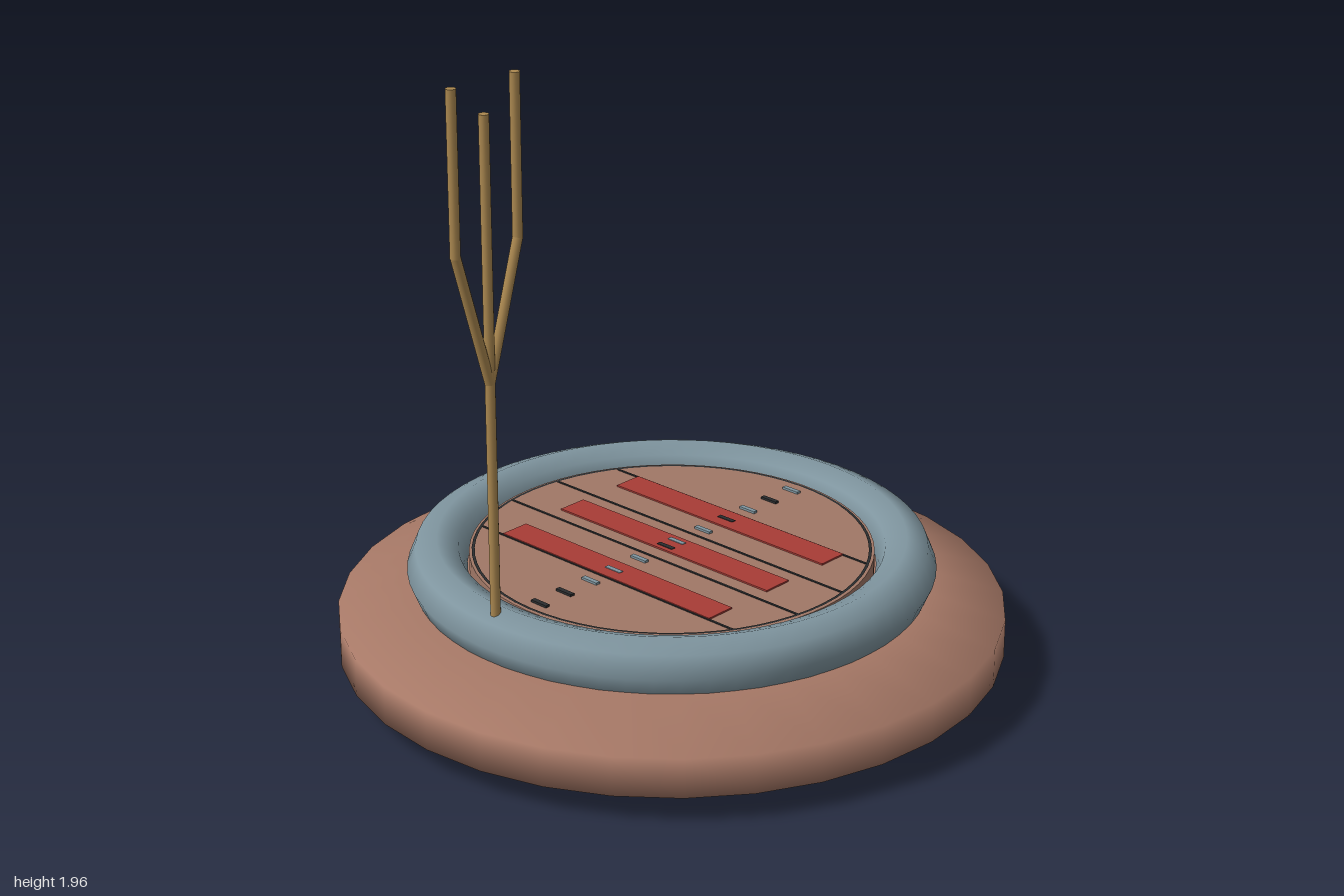
import * as THREE from 'three';

const mat = (name, color) => new THREE.MeshStandardMaterial({ name, color });

export function createModel() {
  const clay = mat('clay brown', 0xa67866);
  const deckBrown = mat('deck brown', 0xa07766);
  const blue = mat('slate blue', 0x7f959f);
  const red = mat('stripe red', 0xa83c36);
  const bronze = mat('bronze', 0xab8850);
  const dark = mat('dark seam', 0x2a2c2e);

  const model = new THREE.Group();
  const add = (name, geometry, material, x = 0, y = 0, z = 0) => {
    const mesh = new THREE.Mesh(geometry, material);
    mesh.name = name;
    mesh.position.set(x, y, z);
    model.add(mesh);
    return mesh;
  };

  // Wide bevelled base
  const profile = [[0, 0], [0.71, 0.003], [1, 0.08], [1, 0.2], [0.76, 0.278], [0, 0.28]];
  add('base', new THREE.LatheGeometry(profile.map(p => new THREE.Vector2(...p)), 32), clay);

  // Padded ring
  const ring = new THREE.TorusGeometry(0.7, 0.09, 8, 64).rotateX(-Math.PI / 2);
  add('ring', ring, blue, 0, 0.326, 0);

  // Round deck with a dark rim line
  const deckTop = 0.37;
  add('deck', new THREE.CylinderGeometry(0.605, 0.605, 0.1, 64), deckBrown, 0, deckTop - 0.05, 0);
  const rim = new THREE.RingGeometry(0.588, 0.597, 64).rotateX(-Math.PI / 2);
  add('deckRim', rim, dark, 0, deckTop + 0.002, 0);

  // Seams between planks
  for (const x of [-0.295, -0.098, 0.098, 0.295]) {
    const length = 2 * Math.sqrt(0.588 ** 2 - x * x);
    add('plankSeam', new THREE.BoxGeometry(0.007, 0.003, length), dark, x, deckTop + 0.001, 0);
  }

  // Red stripes
  for (const x of [-0.246, 0, 0.246]) {
    add('stripe', new THREE.BoxGeometry(0.096, 0.006, 0.84), red, x, deckTop + 0.002, 0);
  }

  // Small marks across the middle
  const marks = (name, xs, material) => {
    for (const x of xs) {
      add(name, new THREE.BoxGeometry(0.015, 0.008, 0.06), material, x, deckTop + 0.003, 0);
    }
  };
  marks('darkMark', [-0.55, -0.45, -0.025, 0.243, 0.443], dark);
  marks('blueMark', [-0.345, -0.248, -0.14, 0.022, 0.14, 0.343, 0.545], blue);

  // Three-pronged pole
  const rod = (name, x1, y1, x2, y2) => {
    const length = Math.hypot(x2 - x1, y2 - y1);
    const mesh = add(name, new THREE.CylinderGeometry(0.015, 0.015, length, 12), bronze,
      (x1 + x2) / 2, (y1 + y2) / 2, 0);
    mesh.rotation.z = -Math.atan2(x2 - x1, y2 - y1);
  };
  const px = -0.725;
  rod('pole', px, 0.34, px, 1.1);
  rod('middleProng', px, 1.1, px, 1.865);
  for (const side of [-1, 1]) {
    const tip = px + side * 0.115;
    rod('prongArm', px, 1.1, tip, 1.495);
    rod('prong', tip, 1.49, tip, 1.958);
  }

  return model;
}
